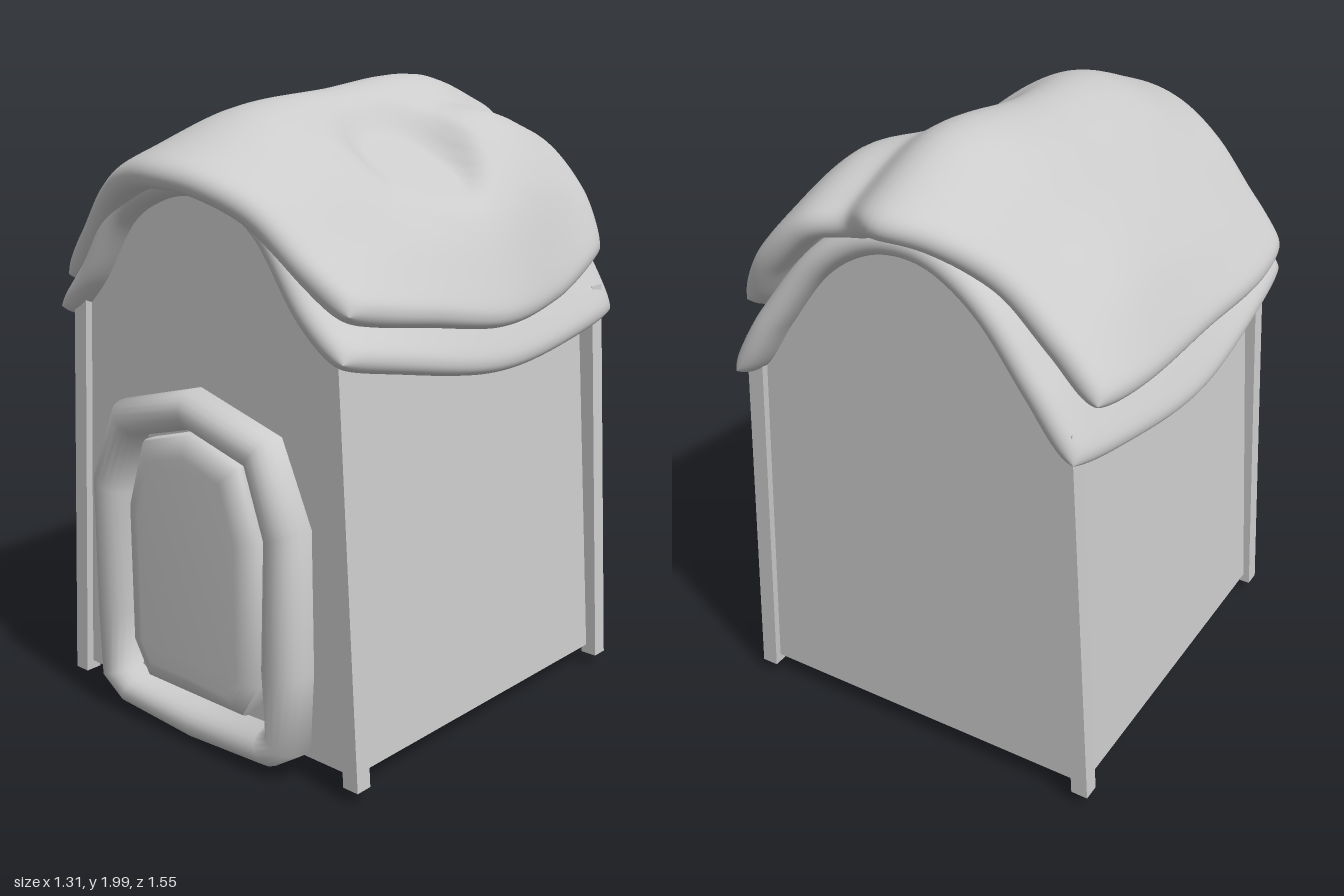
import * as THREE from 'three';
import { mergeVertices, toCreasedNormals } from 'three/addons/utils/BufferGeometryUtils.js';

const material = new THREE.MeshStandardMaterial({ color: 0xcccccc });

function add(group, name, geometry) {
  const mesh = new THREE.Mesh(geometry, material);
  mesh.name = name;
  group.add(mesh);
}

// Smooth value through evenly spaced samples, t in -1..1
function sample(values, t) {
  const n = values.length - 1;
  const p = THREE.MathUtils.clamp((t + 1) / 2, 0, 1) * n;
  const i = Math.min(Math.floor(p), n - 1), f = p - i;
  const at = k => values[THREE.MathUtils.clamp(k, 0, n)];
  const a = at(i - 1), b = at(i), c = at(i + 1), d = at(i + 2);
  return b + 0.5 * f * (c - a + f * (2 * a - 5 * b + 4 * c - d + f * (3 * (b - c) + d - a)));
}

// Thick draped sheet with full rounded rims; rows hold heights from back to front
function drapedSheet({ rows, left, right, back, front, thickness, corner, shapeTop }) {
  const N = 80, positions = [], indices = [];
  const mid = (u0, v0) => {
    const u = u0 * (1 - corner * v0 ** 8), v = v0 * (1 - corner * u0 ** 8);
    return new THREE.Vector3(
      u < 0 ? u * sample(right, v) : u * sample(left, v),
      sample(rows.map(r => sample(r, u)), v),
      THREE.MathUtils.lerp(sample(back, u), sample(front, u), (v + 1) / 2));
  };
  const e = 0.01;
  for (const side of [1, -1]) {
    const base = positions.length / 3;
    for (let j = 0; j <= N; j++) for (let i = 0; i <= N; i++) {
      const u = Math.sin((i / N - 0.5) * Math.PI), v = Math.sin((j / N - 0.5) * Math.PI);
      const cu = THREE.MathUtils.clamp(u, -1 + e, 1 - e), cv = THREE.MathUtils.clamp(v, -1 + e, 1 - e);
      const du = mid(cu + e, cv).sub(mid(cu - e, cv));
      const dv = mid(cu, cv + e).sub(mid(cu, cv - e));
      const normal = dv.cross(du).normalize();
      const round = Math.sqrt(Math.max(0, (1 - u ** 22) * (1 - v ** 22)));
      const p = mid(u, v).addScaledVector(normal, side * thickness * round);
      if (shapeTop && side > 0) shapeTop(p);
      positions.push(p.x, p.y, p.z);
      if (i < N && j < N) {
        const a = base + j * (N + 1) + i, b = a + 1, c = a + N + 1, d = c + 1;
        if (side > 0) indices.push(a, c, b, b, c, d);
        else indices.push(a, b, c, b, d, c);
      }
    }
  }
  let g = new THREE.BufferGeometry();
  g.setAttribute('position', new THREE.Float32BufferAttribute(positions, 3));
  g.setIndex(indices);
  g = mergeVertices(g, 1e-4);
  g.computeVertexNormals();
  return g;
}

// Mirror a half outline (listed from bottom centre to top centre) across x = 0
function mirrored(half) {
  const other = half.filter(p => p[0] > 0).reverse().map(([x, y]) => [-x, y]);
  return [...half, ...other].map(([x, y]) => new THREE.Vector2(x, y));
}

// Rounded moulding running between an outer and an inner outline
function moulding(outer, inner, z, depth) {
  const S = 20, n = outer.length, positions = [], indices = [];
  const soft = t => Math.sign(t) * Math.abs(t) ** 0.9;
  for (let i = 0; i < n; i++) for (let k = 0; k < S; k++) {
    const a = k / S * Math.PI * 2;
    const p = inner[i].clone().lerp(outer[i], 0.5 + 0.5 * soft(Math.cos(a)));
    positions.push(p.x, p.y, z + depth * soft(Math.sin(a)));
    const i2 = (i + 1) % n, k2 = (k + 1) % S;
    const A = i * S + k, B = i2 * S + k, C = i * S + k2, D = i2 * S + k2;
    indices.push(A, B, C, B, D, C);
  }
  const g = new THREE.BufferGeometry();
  g.setAttribute('position', new THREE.Float32BufferAttribute(positions, 3));
  g.setIndex(indices);
  return toCreasedNormals(g, 1.3);
}

export function createModel() {
  const house = new THREE.Group();
  house.name = 'smallHouse';

  // Tapered walls with an arched top
  const wall = mirrored([[0, 0.08], [0.6, 0.08], [0.51, 1.3], [0.41, 1.43], [0.3, 1.6], [0.18, 1.69], [0, 1.72]]);
  const walls = new THREE.ExtrudeGeometry(new THREE.Shape(wall), { depth: 1.25, bevelEnabled: false });
  add(house, 'walls', walls.translate(0, 0, -0.65));

  // Leaning corner posts
  for (const x of [-1, 1]) for (const z of [-0.645, 0.597]) {
    const post = new THREE.BoxGeometry(0.055, 1.28, 0.055);
    const p = post.attributes.position;
    for (let i = 0; i < p.count; i++) {
      p.setX(i, p.getX(i) + x * (0.565 - p.getY(i) * 0.06));
    }
    post.translate(0.007, 0.69, z);
    post.computeVertexNormals();
    add(house, 'cornerPost', post);
  }

  // Padded door and its rounded surround
  const door = mirrored([[0, 0.225], [0.17, 0.225], [0.21, 0.29], [0.21, 0.71], [0.155, 0.88], [0, 0.925]]);
  const doorGeometry = new THREE.ExtrudeGeometry(new THREE.Shape(door), {
    depth: 0.035, bevelThickness: 0.05, bevelSize: 0.07, bevelSegments: 8 });
  add(house, 'door', toCreasedNormals(doorGeometry.translate(0, 0, 0.6), 0.9));
  const outer = mirrored([[0, 0.01], [0.33, 0.03], [0.435, 0.1], [0.45, 0.35], [0.443, 0.79], [0.33, 1.04], [0, 1.13]]);
  const inner = mirrored([[0, 0.125], [0.27, 0.135], [0.305, 0.15], [0.285, 0.35], [0.305, 0.74], [0.24, 0.94], [0, 1.005]]);
  add(house, 'doorSurround', moulding(outer, inner, 0.613, 0.085));

  // Lower roof layer
  add(house, 'lowerRoof', drapedSheet({
    rows: [
      [1.23, 1.43, 1.62, 1.72, 1.75, 1.72, 1.62, 1.43, 1.22],
      [1.17, 1.42, 1.61, 1.72, 1.75, 1.72, 1.61, 1.42, 1.17],
      [1.29, 1.41, 1.62, 1.71, 1.735, 1.71, 1.62, 1.41, 1.29]],
    left: [0.58, 0.63, 0.62], right: [0.58, 0.63, 0.62],
    back: [-0.71, -0.7, -0.68, -0.7, -0.76], front: [0.66, 0.66, 0.66, 0.67, 0.67],
    thickness: 0.05, corner: 0.035,
  }));

  // Upper roof layer, levelled into a flat sloping spot on its left side
  const slope = x => 1.745 - 0.55 * (x - 0.305);
  const flatten = p => {
    const r = Math.hypot((p.x - 0.305) / 0.15, p.z / 0.15);
    p.y = THREE.MathUtils.lerp(slope(p.x), p.y, THREE.MathUtils.smoothstep(r, 0.95, 1.6));
  };
  add(house, 'upperRoof', drapedSheet({
    rows: [
      [1.40, 1.54, 1.69, 1.80, 1.83, 1.77, 1.74, 1.61, 1.43],
      [1.39, 1.60, 1.75, 1.89, 1.945, 1.87, 1.82, 1.65, 1.33],
      [1.39, 1.58, 1.74, 1.87, 1.91, 1.79, 1.68, 1.57, 1.31],
      [1.38, 1.54, 1.70, 1.83, 1.88, 1.83, 1.71, 1.54, 1.36],
      [1.38, 1.51, 1.66, 1.735, 1.755, 1.735, 1.66, 1.52, 1.41]],
    left: [0.58, 0.6, 0.645, 0.61, 0.61], right: [0.625, 0.64, 0.645, 0.65, 0.63],
    back: [-0.66, -0.64, -0.65, -0.73, -0.775, -0.69, -0.71, -0.71, -0.68],
    front: [0.62, 0.645, 0.69, 0.745, 0.775, 0.755, 0.7, 0.66, 0.63],
    thickness: 0.053, corner: 0.04, shapeTop: flatten,
  }));

  // Flat patch lying in the levelled spot
  const patchOutline = [[0.17, -0.07], [0.2, -0.12], [0.37, -0.14], [0.41, -0.1], [0.44, -0.02],
    [0.4, 0.08], [0.35, 0.12], [0.22, 0.13], [0.18, 0.09]].map(([x, z]) => new THREE.Vector2(x, -z));
  const patch = new THREE.ShapeGeometry(new THREE.Shape(patchOutline)).rotateX(-Math.PI / 2);
  const pp = patch.attributes.position;
  for (let i = 0; i < pp.count; i++) pp.setY(i, slope(pp.getX(i)) + 0.004);
  patch.computeVertexNormals();
  add(house, 'roofPatch', patch);

  return house;
}
